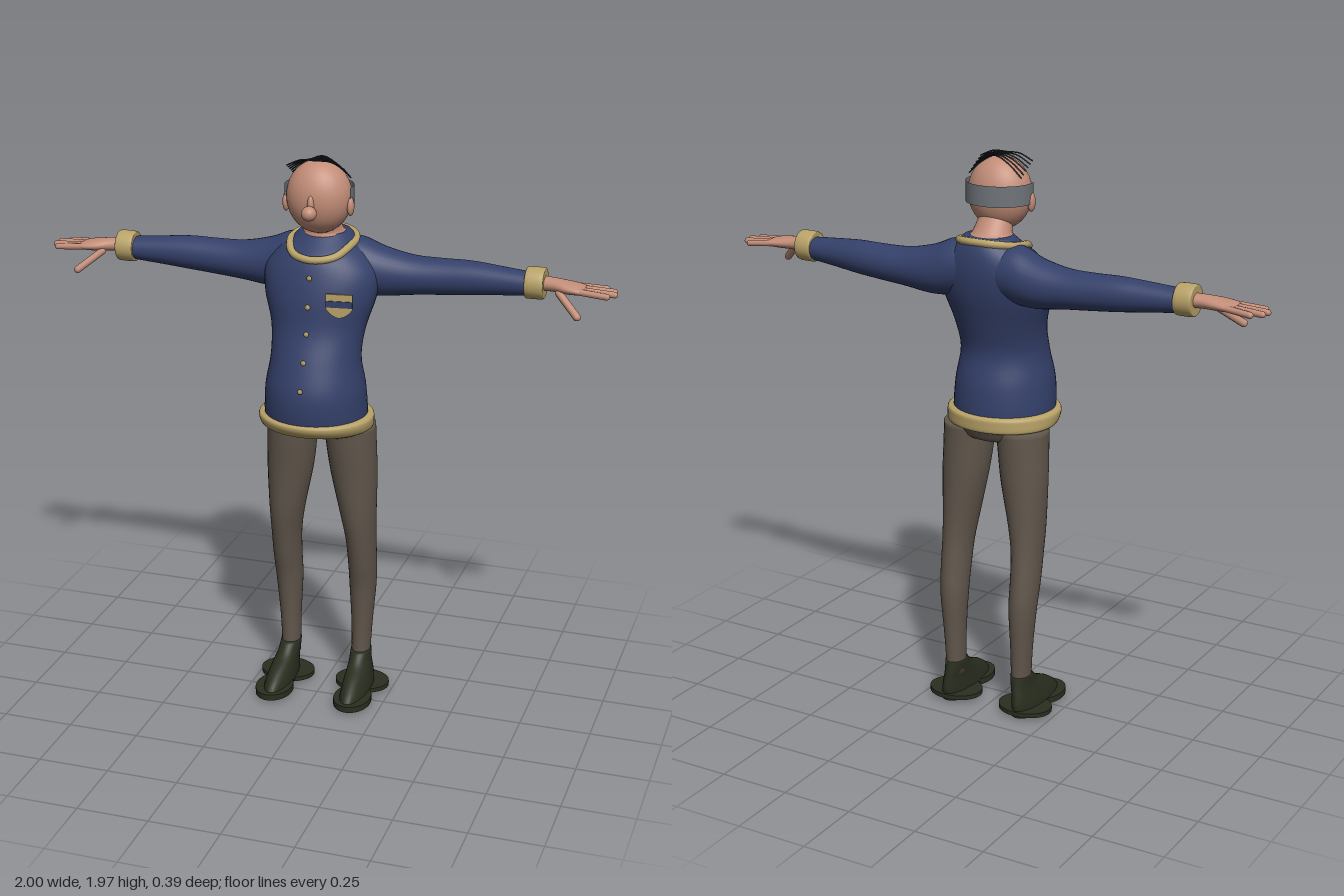
import * as THREE from 'three';

const paint = (name, color, side = THREE.FrontSide) => {
  const m = new THREE.MeshStandardMaterial({ color, side });
  m.name = name;
  return m;
};

// Smooth closed tube through elliptical sections.
// axis 'y' rows: [y, centreX, centreZ, radiusX, radiusZ]
// axis 'x' rows: [x, centreZ, centreY, radiusZ, radiusY]
function loft(axis, rows, seg = 32, steps = 4) {
  const at = (i, t) => rows[0].map((_, k) => {
    const [a, b, c, d] = [-1, 0, 1, 2].map(o => rows[Math.min(rows.length - 1, Math.max(0, i + o))][k]);
    return 0.5 * (2 * b + (c - a) * t + (2 * a - 5 * b + 4 * c - d) * t * t + (3 * b - a - 3 * c + d) * t ** 3);
  });
  const rings = [];
  for (let i = 0; i < rows.length - 1; i++)
    for (let s = 0; s < steps; s++) rings.push(at(i, s / steps));
  rings.push(rows[rows.length - 1]);
  const pos = [], idx = [];
  const put = (t, a, b) => axis === 'y' ? pos.push(a, t, b) : pos.push(t, b, a);
  for (const [t, ca, cb, ra, rb] of rings)
    for (let j = 0; j < seg; j++) {
      const q = j / seg * Math.PI * 2;
      put(t, ca + ra * Math.cos(q), cb + rb * Math.sin(q));
    }
  const quad = (a, b, c, d) => axis === 'y' ? idx.push(a, c, b, b, c, d) : idx.push(a, c, b, b, c, d);
  for (let i = 0; i < rings.length - 1; i++)
    for (let j = 0; j < seg; j++) {
      const k = (j + 1) % seg;
      quad(i * seg + j, i * seg + k, (i + 1) * seg + j, (i + 1) * seg + k);
    }
  // end caps
  const n = rings.length, last = rings[n - 1];
  put(rings[0][0], rings[0][1], rings[0][2]);
  put(last[0], last[1], last[2]);
  for (let j = 0; j < seg; j++) {
    const k = (j + 1) % seg, e = (n - 1) * seg;
    idx.push(n * seg, j, k, n * seg + 1, e + k, e + j);
  }
  // the x-axis frame (x, z, y) has the same handedness as (y, x, z) reversed
  if (axis === 'x' ? isInward(pos, idx) : isInward(pos, idx)) idx.reverse();
  const g = new THREE.BufferGeometry();
  g.setAttribute('position', new THREE.Float32BufferAttribute(pos, 3));
  g.setIndex(idx);
  g.computeVertexNormals();
  return g;
}

// Signed volume tells which way the faces point.
function isInward(pos, idx) {
  let v = 0;
  const p = i => new THREE.Vector3(pos[3 * i], pos[3 * i + 1], pos[3 * i + 2]);
  const o = p(0);
  for (let i = 0; i < idx.length; i += 3) {
    const [a, b, c] = [0, 1, 2].map(k => p(idx[i + k]).sub(o));
    v += a.dot(b.cross(c));
  }
  return v < 0;
}

export function createModel() {
  const root = new THREE.Group();
  root.name = 'figure';
  const skin = paint('skin', 0xc28d78), navy = paint('navy cloth', 0x34406a);
  const gold = paint('gold trim', 0xb8a268), brown = paint('brown trousers', 0x61574c);
  const shoe = paint('dark green shoes', 0x2a2e1f), grey = paint('grey hair', 0x70757a, THREE.DoubleSide);
  const dark = paint('dark hair', 0x25272c);

  const add = (name, geo, mat, x = 0, y = 0, z = 0, sx = 1, sy = 1, sz = 1) => {
    const m = new THREE.Mesh(geo, mat);
    m.name = name;
    m.position.set(x, y, z);
    m.scale.set(sx, sy, sz);
    root.add(m);
    return m;
  };
  const ball = (name, mat, x, y, z, a, b, c) =>
    add(name, new THREE.SphereGeometry(1, 28, 20), mat, x, y, z, a, b, c);
  const V = (x, y, z) => new THREE.Vector3(x, y, z);
  const finger = (name, a, b, r) => {
    const d = b.clone().sub(a), c = a.clone().add(b).multiplyScalar(0.5);
    const m = add(name, new THREE.CapsuleGeometry(r, d.length() - 2 * r, 5, 10), skin, c.x, c.y, c.z);
    m.quaternion.setFromUnitVectors(V(0, 1, 0), d.normalize());
  };

  // Jacket with a round belly
  add('jacket', loft('y', [
    [1.06, 0, 0.005, 0.178, 0.168], [1.12, 0, 0.01, 0.177, 0.174], [1.2, 0, 0.014, 0.171, 0.169],
    [1.3, 0, 0.01, 0.155, 0.141], [1.4, 0, -0.02, 0.164, 0.134], [1.5, 0, -0.043, 0.193, 0.142],
    [1.58, 0, -0.06, 0.198, 0.139], [1.64, 0, -0.073, 0.16, 0.126], [1.685, 0, -0.09, 0.11, 0.098],
    [1.71, 0, -0.095, 0.085, 0.075]], 48), navy);
  add('hem', loft('y', [
    [1.04, 0, -0.018, 0.18, 0.15], [1.047, 0, -0.008, 0.194, 0.17], [1.07, 0, 0.003, 0.199, 0.183],
    [1.09, 0, 0.006, 0.197, 0.185], [1.097, 0, 0.006, 0.18, 0.172]], 48), gold);
  const neckline = [[0, 1.64, 0.058], [0.07, 1.65, 0.036], [0.105, 1.675, -0.03], [0.105, 1.686, -0.11],
    [0.06, 1.697, -0.165], [0, 1.7, -0.178], [-0.06, 1.697, -0.165], [-0.105, 1.686, -0.11],
    [-0.105, 1.675, -0.03], [-0.07, 1.65, 0.036]];
  add('collar', new THREE.TubeGeometry(
    new THREE.CatmullRomCurve3(neckline.map(p => V(...p)), true), 64, 0.013, 10, true), gold);

  // Buttons and breast badge
  for (const [y, z] of [[1.585, 0.085], [1.49, 0.104], [1.4, 0.118], [1.31, 0.15], [1.22, 0.186]])
    ball('button', gold, 0, y, z, 0.009, 0.009, 0.004);
  const shield = new THREE.Shape();
  shield.moveTo(-0.045, 0.04);
  shield.lineTo(-0.045, -0.01);
  shield.quadraticCurveTo(-0.03, -0.035, 0, -0.042);
  shield.quadraticCurveTo(0.03, -0.035, 0.045, -0.01);
  shield.lineTo(0.045, 0.04);
  const badge = add('badge', new THREE.ExtrudeGeometry(shield, { depth: 0.008, bevelEnabled: false }),
    gold, 0.106, 1.502, 0.088);
  const stripe = add('badgeStripe', new THREE.BoxGeometry(0.09, 0.022, 0.004), navy, 0.107, 1.508, 0.097);
  badge.rotation.y = stripe.rotation.y = 0.12;

  // Neck and head
  add('neck', loft('y', [[1.65, 0, -0.09, 0.08, 0.07], [1.7, 0, -0.085, 0.078, 0.075],
    [1.72, 0, -0.075, 0.066, 0.064], [1.78, 0, -0.04, 0.055, 0.055]]), skin);
  ball('head', skin, 0, 1.839, -0.024, 0.112, 0.124, 0.095);
  ball('noseBridge', skin, 0, 1.828, 0.066, 0.012, 0.034, 0.016);
  ball('nose', skin, 0, 1.806, 0.088, 0.026, 0.025, 0.026);

  // Grey hair wrapped round the back of the head
  add('backHair', new THREE.CylinderGeometry(1, 1, 1, 40, 1, true, 1.34, 2 * Math.PI - 2.68),
    grey, 0, 1.845, -0.025, 0.116, 0.07, 0.11);
  // Thin strands combed across the crown
  for (let i = 0; i < 6; i++) {
    const z = 0.018 - i * 0.015, end = 1.945 - i * 0.009;
    const arc = new THREE.CatmullRomCurve3([[-0.1, end], [-0.05, (end + 1.972) / 2 + 0.008],
      [0, 1.967], [0.05, (end + 1.972) / 2 + 0.008], [0.1, end]].map(([x, y]) => V(x, y, z)));
    add('hairStrand', new THREE.TubeGeometry(arc, 20, 0.0025, 5), dark);
  }

  // Pelvis
  add('pelvis', loft('y', [[0.985, 0, -0.05, 0.03, 0.03], [1.0, 0, -0.048, 0.12, 0.085],
    [1.025, 0, -0.03, 0.172, 0.12], [1.06, 0, -0.01, 0.18, 0.155]], 40), brown);

  for (const s of [1, -1]) {
    const side = s > 0 ? 'left' : 'right';
    const acrossX = rows => loft('x', rows.map(([x, ...r]) => [s * x, ...r]));
    const upright = rows => loft('y', rows.map(([y, x, ...r]) => [y, s * x, ...r]));

    ball(side + 'Ear', skin, s * 0.112, 1.815, -0.012, 0.012, 0.032, 0.018);

    // Sleeve, cuff and hand
    add(side + 'Sleeve', acrossX([
      [0.04, -0.1, 1.6, 0.085, 0.085], [0.12, -0.107, 1.592, 0.087, 0.098], [0.2, -0.114, 1.574, 0.08, 0.085],
      [0.3, -0.116, 1.569, 0.068, 0.068], [0.4, -0.117, 1.572, 0.061, 0.062], [0.5, -0.115, 1.577, 0.056, 0.058],
      [0.6, -0.108, 1.579, 0.049, 0.049], [0.72, -0.1, 1.58, 0.042, 0.038]]), navy);
    add(side + 'Cuff', acrossX([
      [0.694, -0.098, 1.585, 0.044, 0.046], [0.699, -0.098, 1.585, 0.052, 0.053],
      [0.75, -0.098, 1.586, 0.052, 0.053], [0.756, -0.098, 1.586, 0.044, 0.045]]), gold);
    add(side + 'Palm', acrossX([
      [0.73, -0.1, 1.587, 0.029, 0.025], [0.78, -0.095, 1.587, 0.031, 0.023], [0.83, -0.088, 1.584, 0.043, 0.021],
      [0.875, -0.087, 1.581, 0.047, 0.016], [0.895, -0.087, 1.58, 0.036, 0.008]]), skin);
    [[-0.122, -0.138, 0.965], [-0.1, -0.11, 0.995], [-0.076, -0.078, 1.0], [-0.054, -0.046, 0.98]]
      .forEach(([z0, z1, x]) =>
        finger(side + 'Finger', V(s * 0.86, 1.582, z0), V(s * x, 1.574, z1), 0.011));
    finger(side + 'Thumb', V(s * 0.8, 1.575, -0.07), V(s * 0.89, 1.502, -0.004), 0.013);

    // Trouser leg
    add(side + 'Leg', upright([
      [0.1, 0.132, -0.107, 0.032, 0.043], [0.25, 0.135, -0.11, 0.037, 0.047], [0.4, 0.138, -0.108, 0.047, 0.058],
      [0.5, 0.14, -0.093, 0.05, 0.065], [0.6, 0.138, -0.077, 0.053, 0.07], [0.7, 0.131, -0.066, 0.063, 0.077],
      [0.85, 0.117, -0.06, 0.081, 0.084], [0.95, 0.109, -0.054, 0.087, 0.09],
      [1.04, 0.103, -0.05, 0.09, 0.095]]), brown);

    // Shoe with a wide flat sole
    add(side + 'Shoe', upright([
      [0.02, 0.143, -0.022, 0.05, 0.145], [0.05, 0.142, -0.035, 0.047, 0.136], [0.085, 0.139, -0.06, 0.041, 0.107],
      [0.115, 0.135, -0.09, 0.037, 0.072], [0.15, 0.133, -0.107, 0.036, 0.049]]), shoe);
    const disc = () => new THREE.CylinderGeometry(1, 1, 1, 36);
    add(side + 'ToeSole', disc(), shoe, s * 0.147, 0.02, 0.045, 0.066, 0.022, 0.09);
    add(side + 'HeelSole', disc(), shoe, s * 0.142, 0.022, -0.095, 0.098, 0.016, 0.08);
    add(side + 'HeelPad', disc(), shoe, s * 0.142, 0.008, -0.095, 0.045, 0.016, 0.065);
  }
  return root;
}
